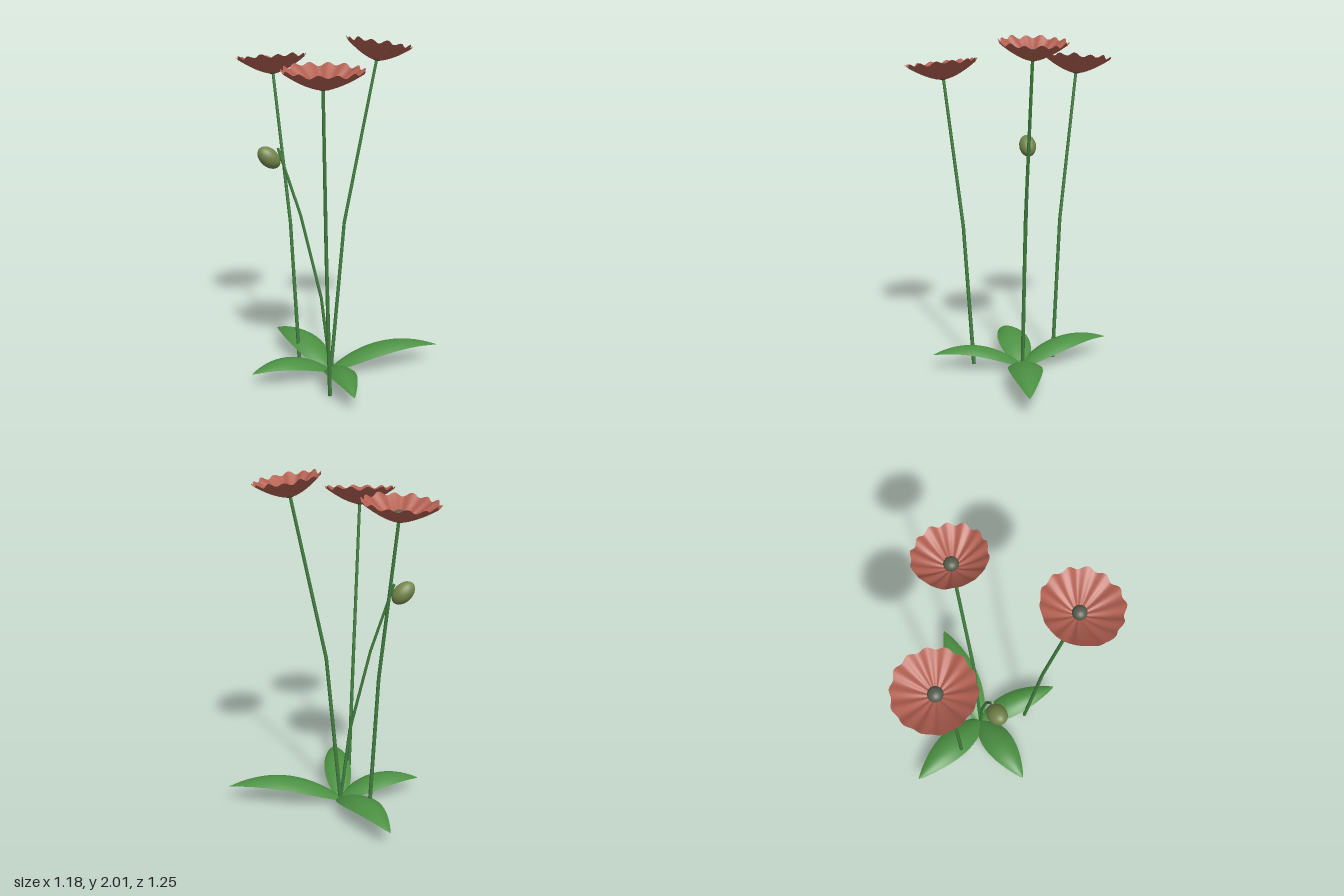
import * as THREE from 'three';

const mat = (name, color, side = THREE.FrontSide) => {
  const m = new THREE.MeshStandardMaterial({ color, side });
  m.name = name;
  return m;
};
const V = (x, y, z) => new THREE.Vector3(x, y, z);
const UP = V(0, 1, 0);

// Smooth surface over a (nu x nv) grid, f(u, v) -> Vector3
function surface(nu, nv, f) {
  const g = new THREE.PlaneGeometry(1, 1, nu, nv);
  const p = g.attributes.position;
  for (let j = 0, i = 0; j <= nv; j++)
    for (let k = 0; k <= nu; k++, i++) {
      const q = f(k / nu, j / nv);
      p.setXYZ(i, q.x, q.y, q.z);
    }
  g.computeVertexNormals();
  return g;
}

export function createModel() {
  const root = new THREE.Group();
  root.name = 'flowerPlant';
  const petal = mat('petal red', 0xb26051, THREE.DoubleSide);
  const leafGreen = mat('leaf green', 0x4c9143, THREE.DoubleSide);
  const stemGreen = mat('stem green', 0x428040);
  const budGreen = mat('bud olive', 0x75864c);
  const coreGrey = mat('flower centre grey', 0x575c4c);

  const add = (parent, name, geo, material) => {
    const m = new THREE.Mesh(geo, material);
    m.name = name;
    parent.add(m);
    return m;
  };

  // Stems: straight tapering lengths meeting at soft kinks
  function stem(name, points, r0, r1) {
    const g = new THREE.Group();
    g.name = name;
    const n = points.length - 1;
    for (let i = 0; i < n; i++) {
      const a = points[i], b = points[i + 1], d = b.clone().sub(a);
      const r = (t) => r0 + (r1 - r0) * t / n;
      const m = add(g, 'stemLength', new THREE.CylinderGeometry(r(i + 1), r(i), d.length(), 8), stemGreen);
      m.position.copy(a).add(b).multiplyScalar(0.5);
      m.quaternion.setFromUnitVectors(UP, d.normalize());
    }
    root.add(g);
  }

  // Blossom: pleated shallow bowl with a round centre
  function flower(name, pos, normal, R, phase) {
    const g = new THREE.Group();
    g.name = name;
    const bowl = surface(168, 10, (u, v) => {
      const a = u * Math.PI * 2;
      const s = 0.04 + 0.96 * v;
      const pleat = Math.cos(14 * a + phase) + 0.35 * Math.cos(7 * a + 2 * phase);
      const r = R * s * (1 + 0.022 * v * Math.cos(14 * a + phase) + 0.012 * v * Math.cos(5 * a + phase));
      const y = 0.1 * Math.pow(s, 1.5) + 0.009 * Math.pow(s, 0.9) * pleat;
      return V(Math.cos(a) * r, y, Math.sin(a) * r);
    });
    // Match the normals where the bowl closes
    const n = bowl.attributes.normal;
    for (let j = 0; j <= 10; j++) {
      const i = j * 169, k = i + 168;
      const q = V(n.getX(i) + n.getX(k), n.getY(i) + n.getY(k), n.getZ(i) + n.getZ(k)).normalize();
      n.setXYZ(i, q.x, q.y, q.z);
      n.setXYZ(k, q.x, q.y, q.z);
    }
    add(g, 'petals', bowl, petal);
    const core = add(g, 'flowerCentre', new THREE.SphereGeometry(0.039, 20, 14), coreGrey);
    core.position.y = 0.03;
    core.scale.y = 0.85;
    g.position.copy(pos);
    g.quaternion.setFromUnitVectors(UP, normal.normalize());
    root.add(g);
  }

  // Leaf: arched blade with drooping sides; rise and fall shape the midrib
  const heart = V(-0.09, 0.02, -0.04);
  function leaf(name, tipX, tipZ, halfWidth, rise, fall) {
    const dir = V(tipX - heart.x, 0, tipZ - heart.z);
    const side = V(-dir.z, 0, dir.x).normalize();
    add(root, name, surface(10, 20, (u, v) => {
      const c = u * 2 - 1;
      const w = halfWidth * Math.pow(Math.sin(Math.PI * Math.pow(0.05 + 0.95 * v, 0.85)), 0.85);
      const width = v === 1 ? 0 : w;
      const droop = 0.035 * c * c * width / halfWidth;
      return heart.clone().addScaledVector(dir, v).addScaledVector(side, -c * width)
        .add(V(0, rise * v - fall * v * v - droop, 0));
    }), leafGreen);
  }

  leaf('leftLeaf', 0.59, 0.045, 0.1, 0.465, 0.375);
  leaf('rightLeaf', -0.595, 0, 0.1, 0.4, 0.335);
  leaf('backLeaf', -0.26, -0.615, 0.1, 0.43, 0.35);
  leaf('frontLeaf', -0.15, 0.51, 0.085, 0.42, 0.345);

  stem('leftStem', [V(-0.09, 0, -0.04), V(0, 0.94, -0.04), V(0.2, 1.89, -0.04)], 0.012, 0.009);
  stem('backStem', [V(-0.22, 0, -0.26), V(-0.25, 0.9, -0.305), V(-0.31, 1.8, -0.41)], 0.012, 0.009);
  stem('frontStem', [V(-0.2, 0, 0.25), V(-0.235, 0.88, 0.3), V(-0.282, 1.77, 0.4)], 0.012, 0.009);
  stem('budStem', [V(-0.09, 0, -0.04), V(-0.14, 0.48, -0.06), V(-0.25, 0.99, -0.095), V(-0.37, 1.39, -0.13)], 0.01, 0.008);

  flower('leftFlower', V(0.2, 1.875, -0.04), V(0.16, 1, 0), 0.188, 0.4);
  flower('backFlower', V(-0.31, 1.79, -0.41), V(-0.04, 1, -0.08), 0.204, 1.7);
  flower('frontFlower', V(-0.282, 1.758, 0.4), V(-0.02, 1, 0.1), 0.21, 3.1);

  // Nodding bud
  const bud = add(root, 'bud', new THREE.SphereGeometry(0.053, 20, 14), budGreen);
  bud.scale.y = 1.45;
  bud.position.set(-0.423, 1.338, -0.133);
  bud.rotation.z = 0.8;

  return root;
}
